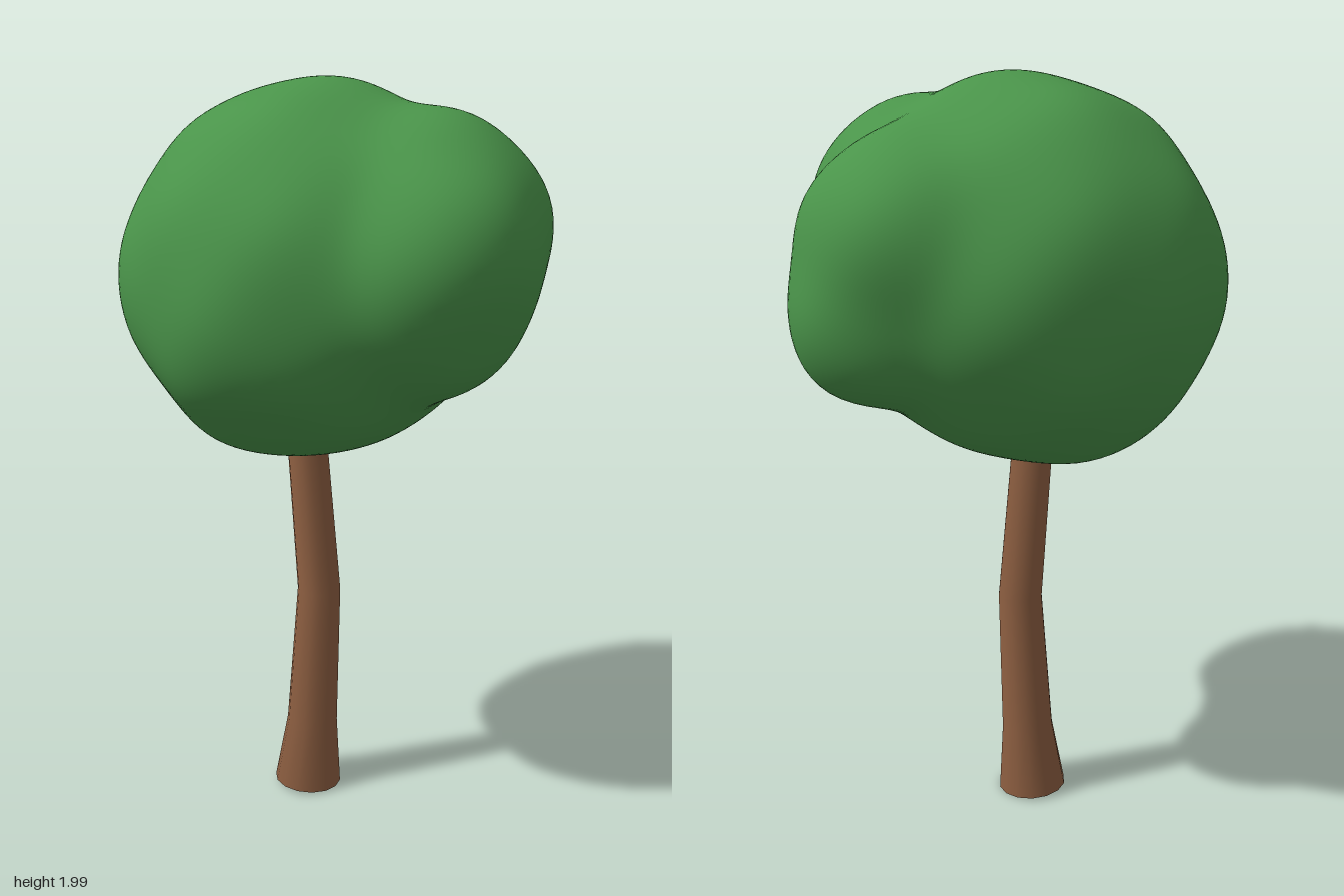
import * as THREE from 'three';
import { mergeVertices } from 'three/addons/utils/BufferGeometryUtils.js';

const foliageGreen = new THREE.MeshStandardMaterial({ color: 0x4a944a });
foliageGreen.name = 'foliageGreen';
const barkBrown = new THREE.MeshStandardMaterial({ color: 0x8f6042 });
barkBrown.name = 'barkBrown';

// Leaf clumps that melt together into the crown: x, y, z, radius
const CLUMPS = [
  [-0.045, 1.505, -0.055, 0.485], // main mass
  [0.22, 1.62, 0.13, 0.3],        // front left, high
  [0.2, 1.58, 0.28, 0.25],        // front left, foremost
  [0.2, 1.46, 0.23, 0.235],       // front left, low
  [0.3, 1.43, -0.235, 0.24],      // back left, low
  [0.23, 1.6, -0.245, 0.265],     // back left, high
  [0.24, 1.56, -0.03, 0.24],      // fill between the left clumps
  [-0.2, 1.42, 0.1, 0.265],       // front right
  [-0.24, 1.47, -0.12, 0.3],      // right side
  [-0.17, 1.3, -0.09, 0.28],      // underside
];

// Smooth union of the clumps: negative inside, positive outside
function crownDistance(p) {
  const k = 0.03;
  let sum = 0;
  for (const [x, y, z, r] of CLUMPS) {
    sum += Math.exp(-(Math.hypot(p.x - x, p.y - y, p.z - z) - r) / k);
  }
  const ripple = 0.008 * Math.sin(p.x * 13 + 1) * Math.sin(p.y * 12) * Math.sin(p.z * 13 + 2);
  return -k * Math.log(sum) + ripple;
}

// Push a sphere's vertices out to the surface of the clumps
function crownGeometry() {
  let geo = new THREE.IcosahedronGeometry(1, 22);
  geo.deleteAttribute('uv');
  geo.deleteAttribute('normal');
  geo = mergeVertices(geo, 1e-4);
  const centre = new THREE.Vector3(0.04, 1.5, 0);
  const pos = geo.attributes.position;
  const dir = new THREE.Vector3();
  const p = new THREE.Vector3();
  for (let i = 0; i < pos.count; i++) {
    dir.fromBufferAttribute(pos, i).normalize();
    let near = 0.1, far = 1;
    for (let step = 0; step < 24; step++) {
      const mid = (near + far) / 2;
      p.copy(centre).addScaledVector(dir, mid);
      if (crownDistance(p) < 0) near = mid; else far = mid;
    }
    pos.setXYZ(i, p.x, p.y, p.z);
  }
  geo.computeVertexNormals();
  return geo;
}

// Trunk rings from foot to crown: x, y, z, radius, slope
const RINGS = [
  [-0.069, 0.008, -0.048, 0.094, -0.07],
  [-0.055, 0.2, -0.052, 0.071, -0.04],
  [-0.034, 0.6, -0.056, 0.06, 0],
  [-0.063, 1.0, -0.055, 0.055, 0.05],
  [-0.074, 1.15, -0.055, 0.053, 0.05],
];

// Bend and flare a cylinder through the rings
function trunkGeometry() {
  const rows = RINGS.length - 1;
  const geo = new THREE.CylinderGeometry(1, 1, 1, 14, rows);
  const pos = geo.attributes.position;
  for (let i = 0; i < pos.count; i++) {
    const [x, y, z, r, slope] = RINGS[Math.round((pos.getY(i) + 0.5) * rows)];
    const dx = pos.getX(i) * r;
    pos.setXYZ(i, x + dx, y + dx * slope, z + pos.getZ(i) * r);
  }
  return geo;
}

export function createModel() {
  const tree = new THREE.Group();
  tree.name = 'tree';
  const trunk = new THREE.Mesh(trunkGeometry(), barkBrown);
  trunk.name = 'trunk';
  const crown = new THREE.Mesh(crownGeometry(), foliageGreen);
  crown.name = 'crown';
  tree.add(trunk, crown);
  return tree;
}
